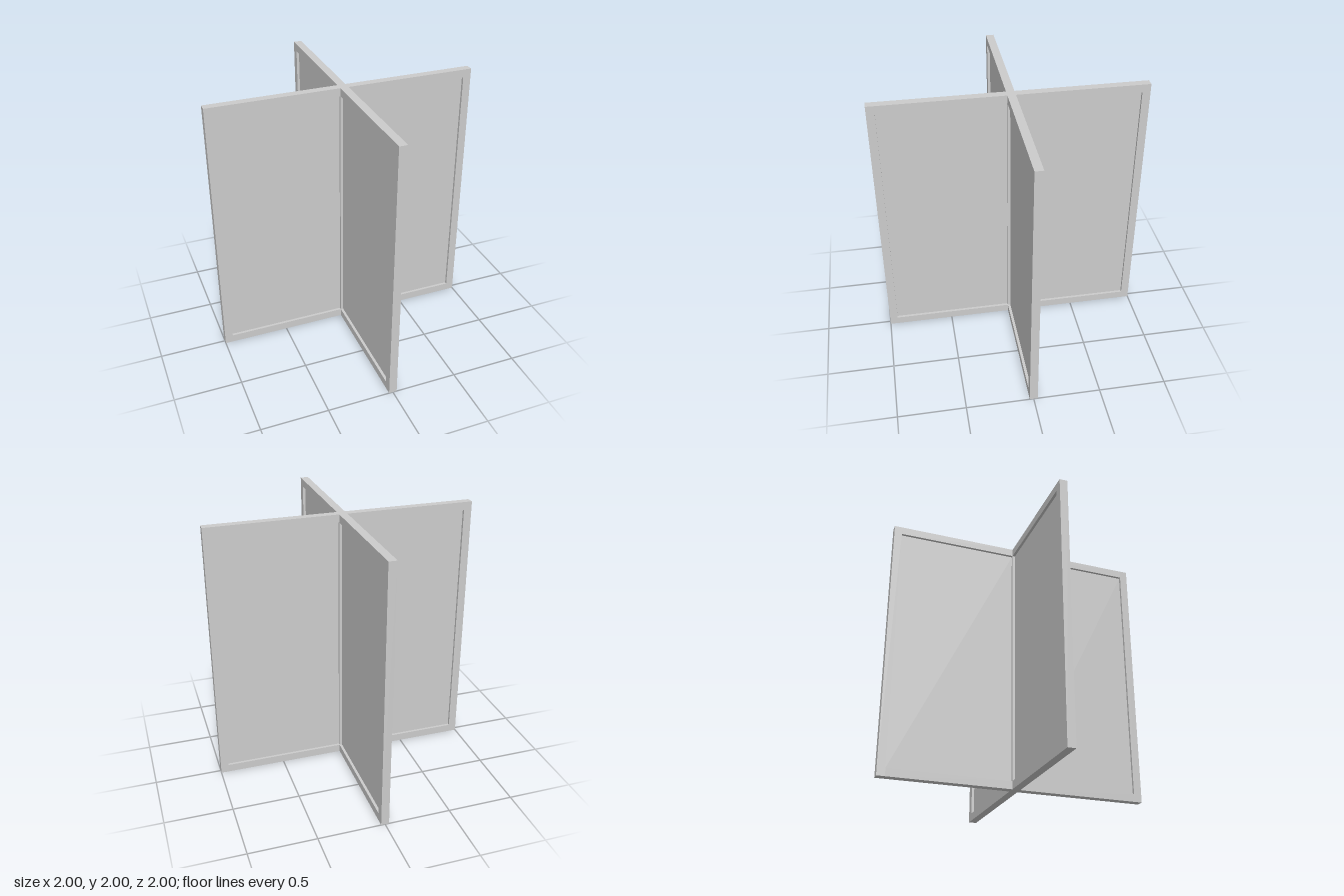
import * as THREE from 'three';

const FRAME = 0.06;   // width and depth of the frame bars
const PANEL = 0.02;   // thickness of the recessed sheet
const HEIGHT = 2;
const HALF = 1;       // reach of each wing from the centre

export function createModel() {
  const model = new THREE.Group();
  model.name = 'crossPartition';
  const material = new THREE.MeshStandardMaterial({ color: 0xcccccc });

  const addBox = (parent, name, w, h, d, x, y) => {
    const mesh = new THREE.Mesh(new THREE.BoxGeometry(w, h, d), material);
    mesh.name = name;
    mesh.position.set(x, y, 0);
    parent.add(mesh);
  };

  // Shared post where the wings meet
  addBox(model, 'centrePost', FRAME, HEIGHT, FRAME, 0, HEIGHT / 2);

  // Four identical framed wings turned around the post
  const inner = FRAME / 2;
  const outer = HALF - FRAME;
  const span = outer - inner;
  const mid = (outer + inner) / 2;
  for (let i = 0; i < 4; i++) {
    const wing = new THREE.Group();
    wing.name = 'wing' + (i + 1);
    wing.rotation.y = i * Math.PI / 2;
    addBox(wing, 'outerStile', FRAME, HEIGHT, FRAME, HALF - FRAME / 2, HEIGHT / 2);
    addBox(wing, 'bottomRail', span, FRAME, FRAME, mid, FRAME / 2);
    addBox(wing, 'topRail', span, FRAME, FRAME, mid, HEIGHT - FRAME / 2);
    addBox(wing, 'panel', span, HEIGHT - 2 * FRAME, PANEL, mid, HEIGHT / 2);
    model.add(wing);
  }
  return model;
}
